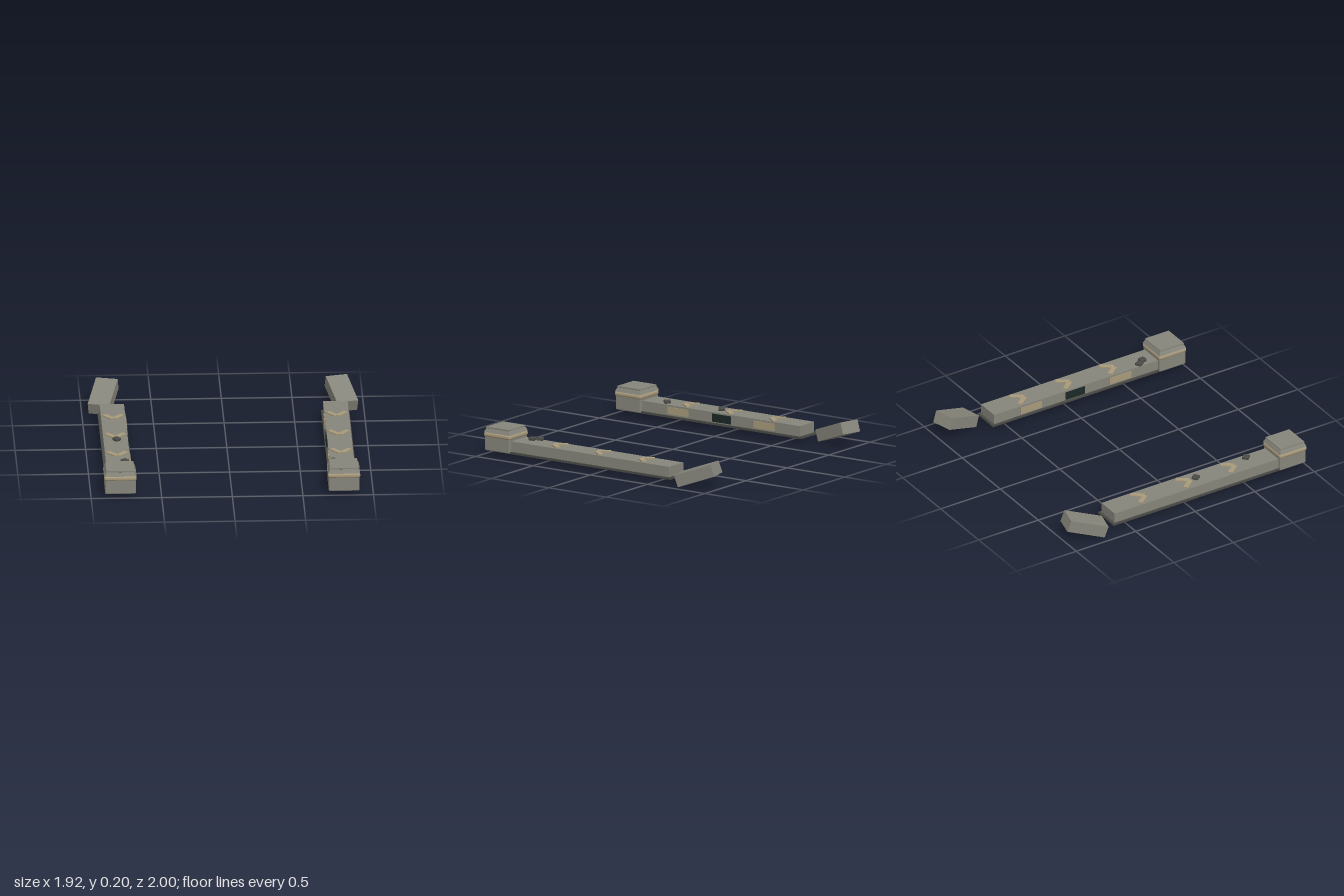
import * as THREE from 'three';
import { RoundedBoxGeometry } from 'three/addons/geometries/RoundedBoxGeometry.js';

const material = (name, color) => {
  const m = new THREE.MeshStandardMaterial({ color });
  m.name = name;
  return m;
};

export function createModel() {
  const stone = material('stone', 0x86857b);
  const darkStone = material('darkStone', 0x4a4a46);
  const sand = material('sandTrim', 0xa8997a);
  const black = material('darkPanel', 0x1c2826);

  const model = new THREE.Group();
  model.name = 'brokenWalls';

  const add = (parent, name, geometry, mat, x, y, z) => {
    const mesh = new THREE.Mesh(geometry, mat);
    mesh.name = name;
    mesh.position.set(x, y, z);
    parent.add(mesh);
    return mesh;
  };
  const box = (w, h, d) => new THREE.BoxGeometry(w, h, d);

  // Square frustum with flat sides
  const frustum = (bottom, top, h) => {
    const g = box(2, h, 2);
    const p = g.attributes.position;
    for (let i = 0; i < p.count; i++) {
      const r = p.getY(i) > 0 ? top : bottom;
      p.setXYZ(i, p.getX(i) * r, p.getY(i), p.getZ(i) * r);
    }
    g.computeVertexNormals();
    return g;
  };

  for (const side of [-1, 1]) {
    const wall = new THREE.Group();
    wall.name = side > 0 ? 'leftWall' : 'rightWall';
    wall.position.x = side * 0.792;
    model.add(wall);

    // Long low wall on a wider plinth
    add(wall, 'plinth', box(0.2, 0.015, 1.4), darkStone, 0, 0.0385, 0.08);
    add(wall, 'wallBody', box(0.174, 0.076, 1.39), stone, 0, 0.083, 0.095);

    // Plates on the inner face
    const inner = -side * 0.089;
    add(wall, 'darkInset', box(0.009, 0.058, 0.16), black, inner, 0.082, 0.08);
    for (const z of [-0.29, 0.46])
      add(wall, 'sandInset', box(0.006, 0.052, 0.18), sand, inner, 0.082, z);

    // Chevrons along the top, pointing to the front
    for (const z of [-0.33, 0.05, 0.425]) {
      for (const arm of [-1, 1]) {
        const bar = add(wall, 'chevronArm', box(0.036, 0.009, 0.1), sand, arm * 0.034, 0.1245, z);
        bar.rotation.y = -arm * 0.66;
      }
    }

    // Front pillar with a rounded band and a tapered cap
    const pillar = new THREE.Group();
    pillar.name = 'pillar';
    pillar.position.z = 0.885;
    wall.add(pillar);
    add(pillar, 'pillarBody', new RoundedBoxGeometry(0.218, 0.125, 0.22, 2, 0.01), stone, 0, 0.0935, 0);
    add(pillar, 'pillarBand', new RoundedBoxGeometry(0.23, 0.036, 0.23, 3, 0.015), sand, 0, 0.148, 0);
    add(pillar, 'capSlope', frustum(0.112, 0.1, 0.026), stone, 0, 0.177, 0);
    add(pillar, 'capGap', box(0.18, 0.004, 0.18), darkStone, 0, 0.192, 0);
    add(pillar, 'capPlate', box(0.2, 0.009, 0.2), stone, 0, 0.1985, 0);

    // Toppled block behind the wall
    const block = add(model, 'fallenBlock', box(0.157, 0.088, 0.295), stone, side * 0.844, 0.095, -0.831);
    block.rotation.order = 'YXZ';
    block.rotation.set(0.345, side * 0.253, 0);
  }

  // Loose rubble on the walls: x, z, turn
  const rubble = [
    [-0.786, 0.14, 0.6],
    [-0.747, 0.587, 0.75],
    [0.726, 0.632, 0.55],
    [0.757, 0.678, 0.1],
  ];
  for (const [x, z, turn] of rubble)
    add(model, 'rubble', new RoundedBoxGeometry(0.048, 0.024, 0.048, 2, 0.008), darkStone, x, 0.132, z).rotation.y = turn;

  return model;
}
